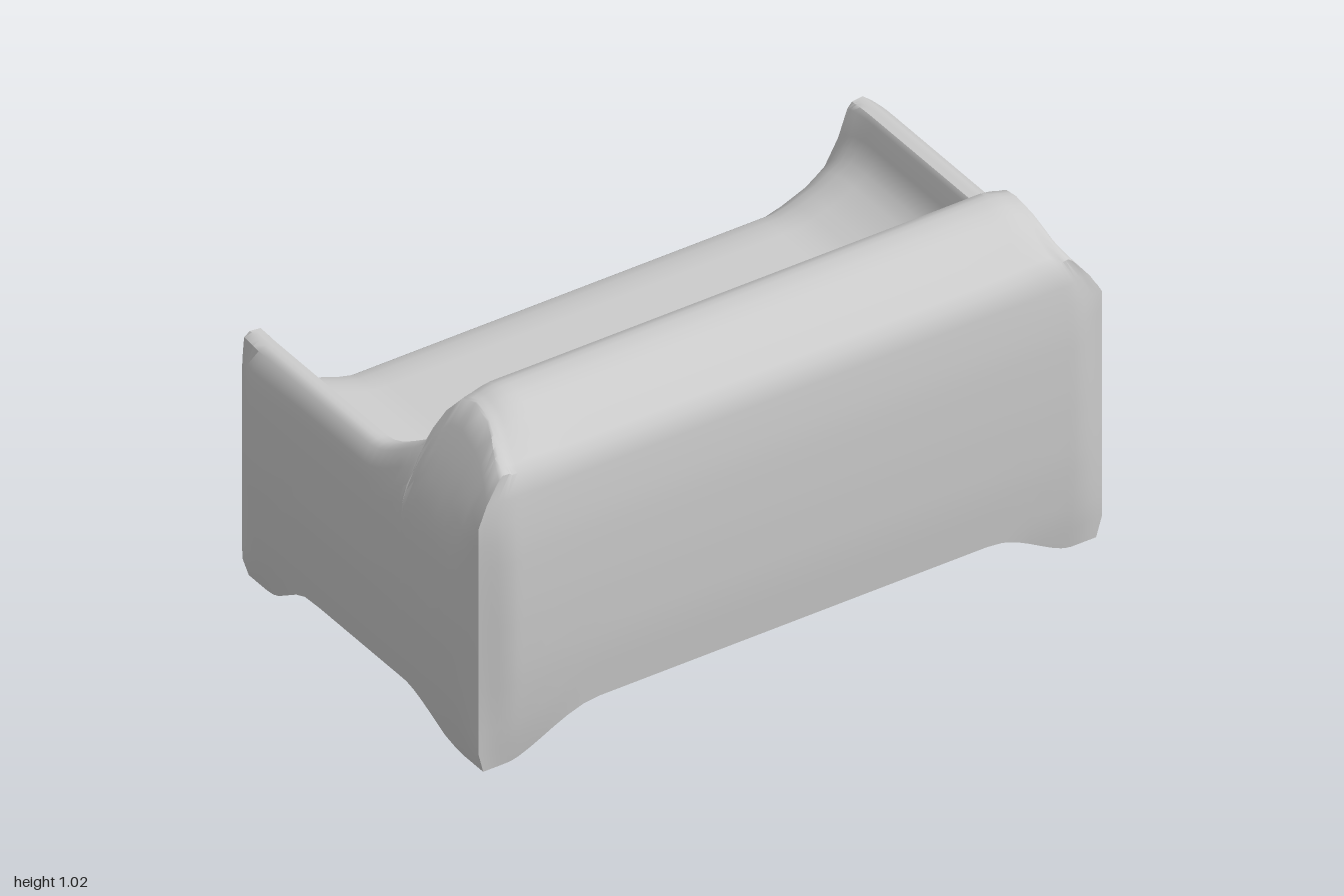
import * as THREE from 'three';
import { toCreasedNormals } from 'three/addons/utils/BufferGeometryUtils.js';

const SEAT = 0.56, HALF_DEPTH = 0.57, ARM = 0.215;

// Profiles as [position, value] pairs
const armRise = [[0, 0], [0.65, 0], [0.7, 0.012], [0.78, 0.04], [0.86, 0.085], [0.9, 0.14],
  [0.925, 0.2], [0.94, 0.212], [0.98, ARM], [1, 0.205]];
const backRise = [[-1, 0], [0.05, 0], [0.15, 0.02], [0.25, 0.05], [0.33, 0.09], [0.39, 0.165],
  [0.415, 0.24], [0.425, 0.34], [0.45, 0.4], [0.51, 0.45], [0.6, 0.46], [0.74, 0.443],
  [0.82, 0.42], [0.91, 0.38], [1, 0.33]];
const seatLip = [[-1, -0.1], [-0.975, -0.07], [-0.95, -0.047], [-0.88, -0.016], [-0.75, 0], [1, 0]];

// Half width and half depth at each height
const lowWidth = [[0, 0.94], [0.04, 0.955], [0.12, 0.97], [0.2, 0.983], [0.4, 1], [0.6, 1],
  [0.72, 0.99], [0.775, 0.965]];
const widthLeft = [...lowWidth, [0.83, 0.93], [0.87, 0.89], [0.94, 0.85], [1.02, 0.83]];
const widthRight = [...lowWidth, [0.83, 0.94], [0.92, 0.885], [1.02, 0.82]];
const depthFront = [[0, 0.53], [0.1, 0.555], [0.25, 0.567], [0.4, 0.57], [0.5, 0.56], [0.76, 0.53], [1.02, 0.5]];
const depthBack = [[0, 0.535], [0.12, 0.555], [0.3, 0.568], [0.5, 0.57], [0.7, 0.565], [0.88, 0.545],
  [0.92, 0.53], [1.02, 0.47]];

function sample(profile, t) {
  if (t <= profile[0][0]) return profile[0][1];
  for (let i = 1; i < profile.length; i++) {
    const [a, va] = profile[i - 1], [b, vb] = profile[i];
    if (t <= b) return va + (vb - va) * (t - a) / (b - a);
  }
  return profile[profile.length - 1][1];
}

const step = THREE.MathUtils.smoothstep;

// Upper surface: arms and back rise out of the seat, with rounded inner corners
function topHeight(u, v) {
  const x = Math.abs(u);
  const p = Math.max(0, x - 0.65) / 0.28, q = Math.max(0, v - 0.05) / 0.38;
  const r = Math.min(1, Math.cbrt(p ** 3 + q ** 3));
  const arm = sample(armRise, Math.max(x, 0.65 + 0.28 * r));
  const a = arm * (1 + 0.5 * step(v, 0.1, 0.55) * step(x, 0.6, 0.95));
  const b = sample(backRise, v) * (1 - 0.05 * step(x, 0.8, 1));
  const rise = Math.pow(a ** 8 + b ** 8, 1 / 8);
  return SEAT + rise + sample(seatLip, v) * (1 - arm / ARM);
}

// Underside: flat, with a foot bulging down at each corner
function bottomHeight(u, v) {
  const x = Math.abs(u), z = Math.abs(v);
  const foot = step(x, 0.61, 0.91) * step(z, 0.37, 0.81);
  return 0.1 - 0.097 * foot + 0.028 * (1 - 0.6 * foot) * step(Math.max(x, z), 0.9, 1);
}

// Place a point of the square footprint at a height: the faces bulge, the corner edges stay upright
function place(u, v, y) {
  const w = sample(u > 0 ? widthLeft : widthRight, y);
  const d = sample(v > 0 ? depthBack : depthFront, y);
  const width = w - Math.max(0, w - 0.962) * step(Math.abs(v), 0.8, 1.05) / step(1, 0.8, 1.05);
  const depth = d - Math.max(0, d - 0.54) * step(Math.abs(u), 0.88, 1.03) / step(1, 0.88, 1.03);
  const x = u * (1 + (width - 1) * u ** 4);
  const z = v * (HALF_DEPTH + (depth - HALF_DEPTH) * v ** 4);
  return [x, y, z];
}

function buildSkin() {
  const half = [0.3, 0.5, 0.6, 0.65, 0.7, 0.74, 0.78, 0.82, 0.86, 0.88, 0.9, 0.925, 0.94, 0.96, 0.98, 1];
  const us = [...half.map(t => -t).reverse(), 0, ...half];
  const vs = [-1, -0.975, -0.95, -0.915, -0.88, -0.82, -0.75, -0.68, -0.6, -0.5, -0.42, -0.3, -0.15, 0,
    0.05, 0.1, 0.15, 0.2, 0.25, 0.29, 0.33, 0.36, 0.39, 0.415, 0.425, 0.45, 0.48, 0.51, 0.55, 0.6, 0.67,
    0.74, 0.82, 0.87, 0.91, 0.96, 1];
  const pos = [];
  const quad = (a, b, c, d) => pos.push(...a, ...b, ...c, ...a, ...c, ...d);
  const top = (u, v) => place(u, v, topHeight(u, v));
  const under = (u, v) => place(u, v, bottomHeight(u, v));

  // Upper and lower faces
  for (let i = 0; i < us.length - 1; i++) {
    for (let j = 0; j < vs.length - 1; j++) {
      const [u, U, v, V] = [us[i], us[i + 1], vs[j], vs[j + 1]];
      quad(top(u, v), top(u, V), top(U, V), top(U, v));
      quad(under(u, v), under(U, v), under(U, V), under(u, V));
    }
  }

  // Outer walls, once around the footprint
  const rim = [
    ...us.map(u => [u, 1]),
    ...vs.slice(0, -1).reverse().map(v => [1, v]),
    ...us.slice(0, -1).reverse().map(u => [u, -1]),
    ...vs.slice(1).map(v => [-1, v]),
  ];
  const rows = 14;
  const wall = ([u, v], k) => {
    const low = bottomHeight(u, v), high = topHeight(u, v);
    return place(u, v, k === rows ? high : low + (high - low) * k / rows);
  };
  for (let i = 0; i < rim.length - 1; i++) {
    for (let k = 0; k < rows; k++) {
      quad(wall(rim[i], k), wall(rim[i + 1], k), wall(rim[i + 1], k + 1), wall(rim[i], k + 1));
    }
  }

  const geo = new THREE.BufferGeometry();
  geo.setAttribute('position', new THREE.Float32BufferAttribute(pos, 3));
  return toCreasedNormals(geo, 0.8);
}

// Which part of the sofa a point of the skin belongs to
function partAt(x, y, z) {
  if (y < 0.09) return 'feet';
  if (z > 0.24 && y > 0.11) return 'backrest';
  if (Math.abs(x) > 0.7 && y > 0.11) return x > 0 ? 'leftArm' : 'rightArm';
  return 'seat';
}

export function createModel() {
  const group = new THREE.Group();
  group.name = 'sofa';
  const material = new THREE.MeshStandardMaterial({ color: 0xcccccc });
  const skin = buildSkin();
  const p = skin.attributes.position.array, n = skin.attributes.normal.array;

  // Share the smooth skin out between the named parts
  const parts = {};
  for (let t = 0; t < p.length; t += 9) {
    const mid = [0, 1, 2].map(k => (p[t + k] + p[t + 3 + k] + p[t + 6 + k]) / 3);
    const name = partAt(...mid);
    const part = parts[name] ??= { pos: [], nor: [] };
    part.pos.push(...p.slice(t, t + 9));
    part.nor.push(...n.slice(t, t + 9));
  }
  for (const [name, { pos, nor }] of Object.entries(parts)) {
    const geo = new THREE.BufferGeometry();
    geo.setAttribute('position', new THREE.Float32BufferAttribute(pos, 3));
    geo.setAttribute('normal', new THREE.Float32BufferAttribute(nor, 3));
    const mesh = new THREE.Mesh(geo, material);
    mesh.name = name;
    group.add(mesh);
  }
  return group;
}
